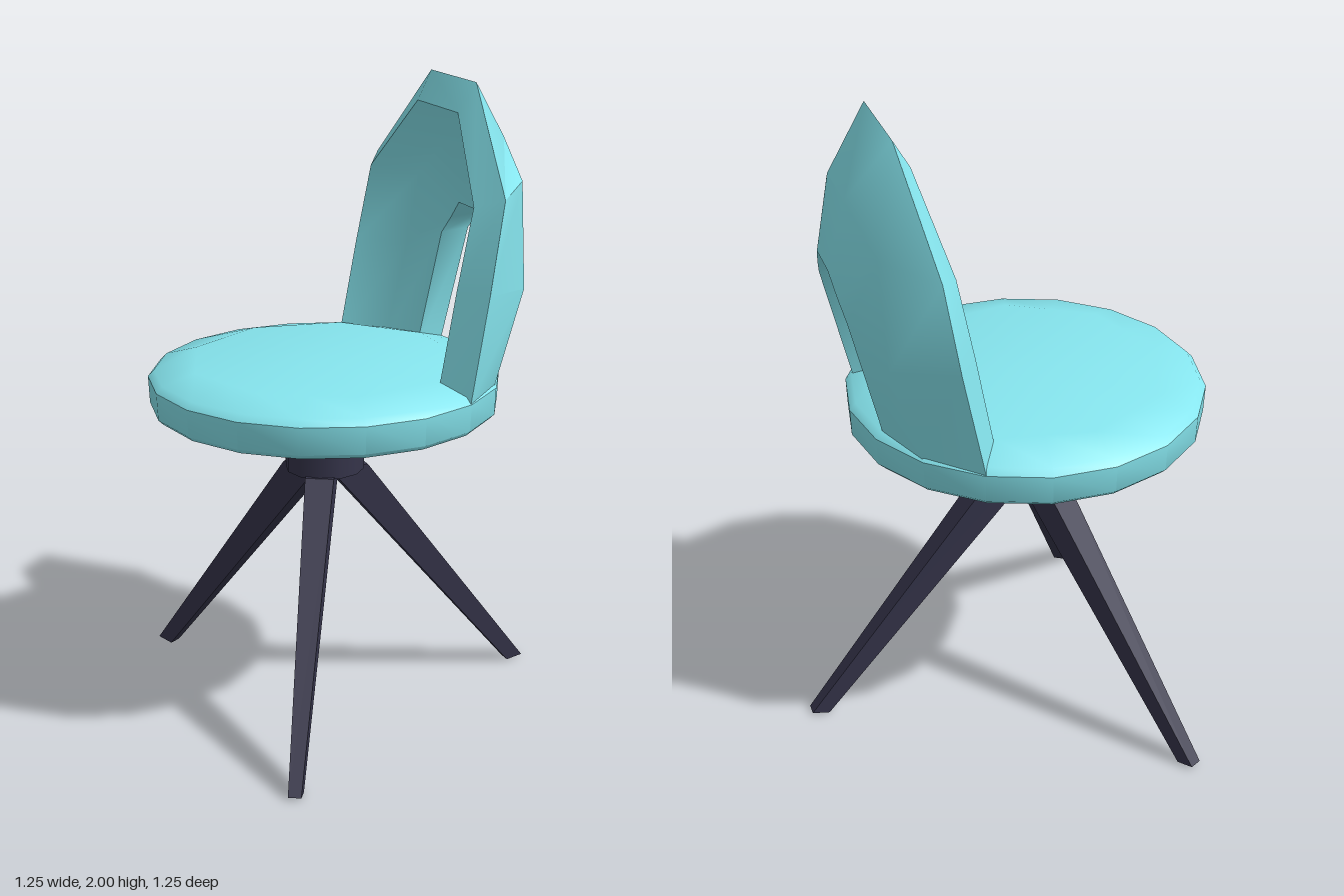
import * as THREE from 'three';
import { toCreasedNormals } from 'three/addons/utils/BufferGeometryUtils.js';

// Local frame: +x points to the back of the chair, z runs across it.
const shell = new THREE.MeshStandardMaterial({ color: 0x86e5ee });
const dark = new THREE.MeshStandardMaterial({ color: 0x35344a });

function part(name, geometry, material) {
  const mesh = new THREE.Mesh(geometry, material);
  mesh.name = name;
  return mesh;
}

// Round cushion with a bevelled rim; the flat top is a nine-sided polygon
function seatGeometry() {
  const profile = [[0.53, 1], [0.545, 1.015], [0.549, 1.1], [0.53, 1.12], [0.425, 1.15], [0, 1.15]]
    .map(([r, y]) => new THREE.Vector2(r, y));
  const sides = 18;
  const geo = new THREE.LatheGeometry(profile, sides, -Math.PI / 2);
  const pos = geo.attributes.position;
  const flatten = Math.cos(Math.PI / 9);
  for (let i = 1; i < sides; i += 2) {
    const k = i * profile.length + 4;
    pos.setXYZ(k, pos.getX(k) * flatten, pos.getY(k), pos.getZ(k) * flatten);
  }
  return toCreasedNormals(geo, 0.75);
}

// Arched backrest: six-point sections swept from one foot over the top to the other.
// Section order: inner rim, outer rim, outer middle, outer hole, inner hole, inner middle.
// Each point is [x, y, z].
function backrestGeometry() {
  const half = [
    [[0.21, 1.1, 0.375], [0.272, 1.1, 0.475], [0.42, 1.1, 0.34], [0.49, 1.1, 0.18], [0.39, 1.1, 0.15], [0.33, 1.1, 0.27]],
    [[0.27, 1.42, 0.372], [0.335, 1.42, 0.462], [0.511, 1.4, 0.345], [0.583, 1.48, 0.175], [0.47, 1.48, 0.14], [0.41, 1.43, 0.27]],
    [[0.322, 1.67, 0.37], [0.383, 1.7, 0.452], [0.52, 1.72, 0.3], [0.597, 1.54, 0.12], [0.482, 1.535, 0.1], [0.43, 1.66, 0.23]],
    [[0.38, 1.91, 0.14], [0.433, 2, 0.155], [0.56, 1.82, 0.1], [0.608, 1.6, 0.066], [0.49, 1.59, 0.06], [0.45, 1.78, 0.09]],
  ];
  const mirrored = half.map(s => s.map(([x, y, z]) => [x, y, -z])).reverse();
  const sections = [...half, ...mirrored];
  const n = 6;
  const index = [];
  const quad = (a, b, c, d) => index.push(a, b, c, a, c, d);
  for (let i = 0; i < sections.length - 1; i++) {
    for (let j = 0; j < n; j++) {
      const k = (j + 1) % n;
      quad(i * n + j, i * n + k, (i + 1) * n + k, (i + 1) * n + j);
    }
  }
  // Feet of the arch
  const e = (sections.length - 1) * n;
  quad(0, 5, 2, 1);
  quad(5, 4, 3, 2);
  quad(e, e + 1, e + 2, e + 5);
  quad(e + 5, e + 2, e + 3, e + 4);

  const geo = new THREE.BufferGeometry();
  geo.setAttribute('position', new THREE.Float32BufferAttribute(sections.flat(2), 3));
  geo.setIndex(index);
  return toCreasedNormals(geo, 0.75);
}

// Tapered, splayed leg made from a sheared box
function legGeometry() {
  const geo = new THREE.BoxGeometry(1, 1, 1);
  const pos = geo.attributes.position;
  for (let i = 0; i < pos.count; i++) {
    const outer = pos.getX(i) > 0;
    const z = pos.getZ(i);
    if (pos.getY(i) > 0) pos.setXYZ(i, outer ? 0.13 : 0, 0.795, z * 0.09);
    else pos.setXYZ(i, outer ? 0.72 : 0.665, outer ? 0.01 : 0, z * 0.04);
  }
  geo.computeVertexNormals();
  return geo;
}

export function createModel() {
  const model = new THREE.Group();
  model.name = 'swivelChair';
  const chair = new THREE.Group();
  chair.name = 'chair';
  chair.position.set(-0.077, 0, -0.08);
  chair.rotation.y = 0.2775;
  model.add(chair);

  chair.add(part('seat', seatGeometry(), shell));
  chair.add(part('backrest', backrestGeometry(), shell));

  // Dark underside, sharing the seat's rim
  const underside = part('seatUnderside', new THREE.CircleGeometry(0.53, 18, Math.PI), dark);
  underside.rotation.x = Math.PI / 2;
  underside.position.y = 1;
  chair.add(underside);

  // Central post
  const post = part('post', new THREE.CylinderGeometry(0.125, 0.125, 0.21, 12), dark);
  post.position.y = 0.895;
  chair.add(post);

  // Three legs, one of them straight under the backrest
  const leg = legGeometry();
  ['backLeg', 'frontLegA', 'frontLegB'].forEach((name, i) => {
    const mesh = part(name, leg, dark);
    mesh.rotation.y = i * Math.PI * 2 / 3;
    chair.add(mesh);
  });

  return model;
}
